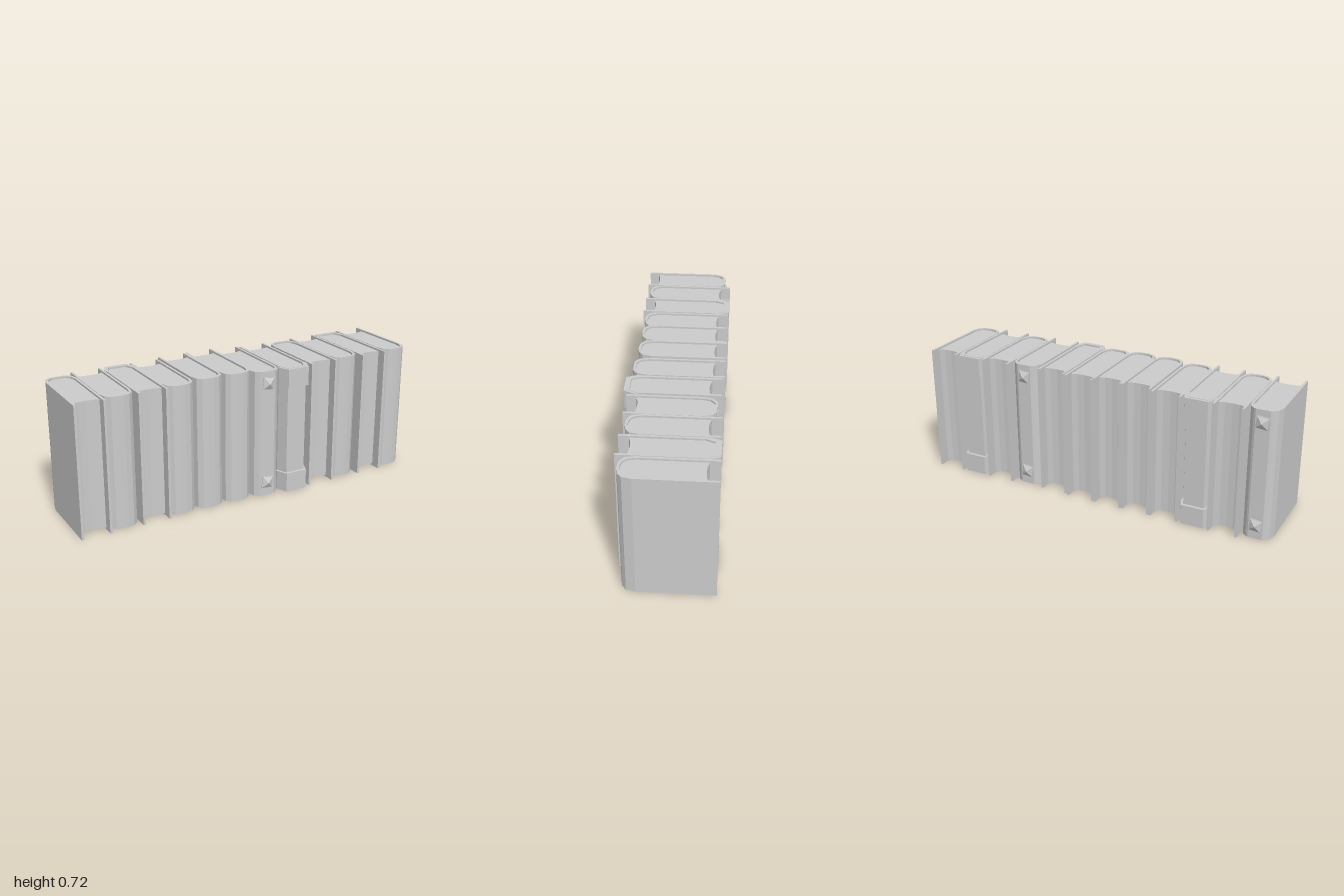
import * as THREE from 'three';

const mat = new THREE.MeshStandardMaterial({ color: 0xcccccc, flatShading: true });
const COVER = 0.013; // cover board thickness

// Half outlines of the spine as [x, z], from the straight side to the middle
const SPINES = {
  plain: [[0.082, 0.14], [0.071, 0.188], [0.048, 0.208], [0.017, 0.215]],
  studded: [[0.082, 0.155], [0.07, 0.2], [0.05, 0.217], [0.038, 0.223]],
  bracketed: [[0.08, 0.18], [0.056, 0.238]],
};

// Full outline: right half plus its mirror
const mirrored = half => [...half, ...half.map(([x, z]) => [-x, z]).reverse()];

// Extrude an [x, z] outline upward from y0 to y1
function prism(name, pts, y0, y1) {
  const shape = new THREE.Shape(pts.map(([x, z]) => new THREE.Vector2(x, -z)));
  const geo = new THREE.ExtrudeGeometry(shape, { depth: y1 - y0, bevelEnabled: false });
  geo.rotateX(-Math.PI / 2).translate(0, y0, 0);
  const mesh = new THREE.Mesh(geo, mat);
  mesh.name = name;
  return mesh;
}

// Low pyramid stud on a thin square base
function stud(y, z) {
  const g = new THREE.Group();
  g.name = 'stud';
  const base = new THREE.Mesh(new THREE.BoxGeometry(0.066, 0.066, 0.008), mat);
  base.name = 'studBase';
  const tip = new THREE.Mesh(new THREE.ConeGeometry(0.044, 0.016, 4).rotateY(Math.PI / 4).rotateX(Math.PI / 2), mat);
  tip.name = 'studTip';
  tip.position.z = 0.012;
  g.add(base, tip);
  g.position.set(0, y, z);
  g.rotation.z = -0.1;
  return g;
}

// One book, spine toward +z
function book(kind, height, fore) {
  const g = new THREE.Group();
  g.name = kind + 'Book';
  const half = SPINES[kind];
  const hw = half[0][0];
  const spineZ = half[half.length - 1][1];
  const inset = half.map(([x, z]) => [x * (hw - COVER) / hw, z - (z > half[0][1] ? COVER : 0.004)]);
  const iw = hw - COVER;

  // U-shaped cover wrapping both boards and the spine
  g.add(prism('cover', [
    [hw, fore], ...mirrored(half), [-hw, fore],
    [-iw, fore], ...mirrored(inset).reverse(), [iw, fore],
  ], 0, height));

  // Page block with a hollow fore edge
  const edge = fore + 0.052;
  g.add(prism('pages', [
    [iw, edge], ...mirrored(inset), [-iw, edge],
    [-iw * 0.55, edge + 0.009], [0, edge + 0.012], [iw * 0.55, edge + 0.009],
  ], 0.01, height - 0.01));

  if (kind === 'studded') {
    for (const y of [0.075, height - 0.068]) g.add(stud(y, spineZ));
  }

  if (kind === 'bracketed') {
    // Clasps wrapping the top and bottom of the spine
    const outer = [[0.088, 0.178], [0.088, 0.192], [0.062, 0.254]];
    const inner = [[0.079, 0.178], [0.055, 0.236]];
    const outline = [...mirrored(outer), ...mirrored(inner).reverse()];
    for (const [y0, y1] of [[0.003, 0.11], [height - 0.106, height - 0.002]]) {
      g.add(prism('bracket', outline, y0, y1));
    }
  }
  return g;
}

export function createModel() {
  const model = new THREE.Group();
  model.name = 'bookRow';
  // [kind, centre x, spine direction, height, fore edge z, z shift]
  const row = [
    ['studded', -0.918, -1, 0.706, -0.238, 0],
    ['plain', -0.752, 1, 0.706, -0.255, 0],
    ['bracketed', -0.587, -1, 0.709, -0.235, 0],
    ['plain', -0.422, 1, 0.706, -0.25, 0],
    ['plain', -0.257, 1, 0.717, -0.25, 0],
    ['plain', -0.093, 1, 0.717, -0.255, 0.003],
    ['studded', 0.073, 1, 0.706, -0.255, 0.005],
    ['bracketed', 0.243, 1, 0.706, -0.242, 0.002],
    ['studded', 0.42, -1, 0.706, -0.238, 0],
    ['plain', 0.586, 1, 0.706, -0.25, 0],
    ['bracketed', 0.752, -1, 0.706, -0.238, 0],
    ['plain', 0.918, 1, 0.706, -0.255, 0],
  ];
  for (const [kind, x, dir, height, fore, dz] of row) {
    const b = book(kind, height, fore);
    b.position.set(x, 0, dz);
    if (dir < 0) b.rotation.y = Math.PI;
    model.add(b);
  }
  return model;
}
